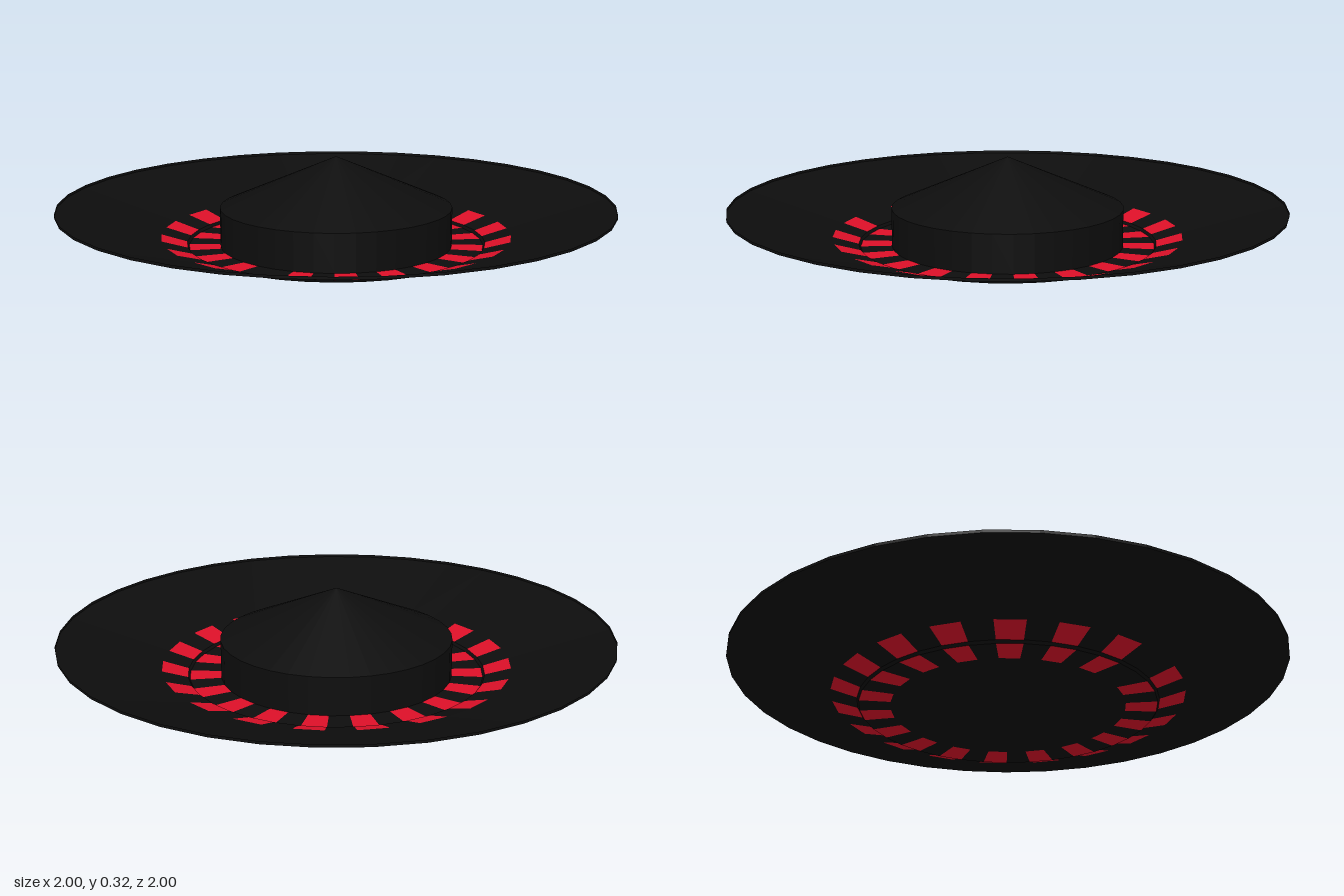
import * as THREE from 'three';
import { mergeGeometries } from 'three/addons/utils/BufferGeometryUtils.js';

const SEGMENTS = 37;
const STEP = (Math.PI * 2) / SEGMENTS;

const material = (color) => new THREE.MeshStandardMaterial({ color, flatShading: true, side: THREE.DoubleSide });

// Revolves [radius, height] pairs; all rings share one faceting with a corner at -z.
function revolve(profile, start = Math.PI, length = Math.PI * 2, count = SEGMENTS) {
  const points = profile.map(([r, y]) => new THREE.Vector2(r, y));
  return new THREE.LatheGeometry(points, count, start, length);
}

// One wedge of a ring, counted clockwise from the back as seen from above.
const wedge = (profile, k) => revolve(profile, Math.PI - (k + 1) * STEP, STEP, 1);

// Lights sit on every other wedge, leaving a wider gap at the front.
const isLight = (k) => (k <= 17 ? k % 2 === 1 : k >= 20 && k % 2 === 0);

export function createModel() {
  const model = new THREE.Group();
  const black = material(0x0d0d0d);
  const red = material(0xdc1028);
  const add = (name, geometry, mat) => {
    const mesh = new THREE.Mesh(geometry, mat);
    mesh.name = name;
    model.add(mesh);
  };

  // Sloping brim with a thin upright lip
  add('brim', revolve([[0.63, 0.037], [1, 0.14], [1, 0.15]]), black);

  // Small step between the flat ring and the brim
  add('step', revolve([[0.53, 0], [0.537, 0.01]]), black);

  // Flat inner ring and lower slope, split into dark and lit wedges
  const rings = { floorRing: [[0.418, 0], [0.53, 0]], lowerSlope: [[0.537, 0.01], [0.63, 0.037]] };
  for (const [name, profile] of Object.entries(rings)) {
    const dark = [];
    const lit = [];
    for (let k = 0; k < SEGMENTS; k++) (isLight(k) ? lit : dark).push(wedge(profile, k));
    add(name, mergeGeometries(dark), black);
    add(name + 'Lights', mergeGeometries(lit), red);
  }

  // Central drum with closed underside, capped by a shallow cone
  add('drum', revolve([[0, 0], [0.418, 0], [0.418, 0.138]]), black);
  add('coneRoof', revolve([[0.418, 0.138], [0, 0.32]]), black);

  return model;
}
